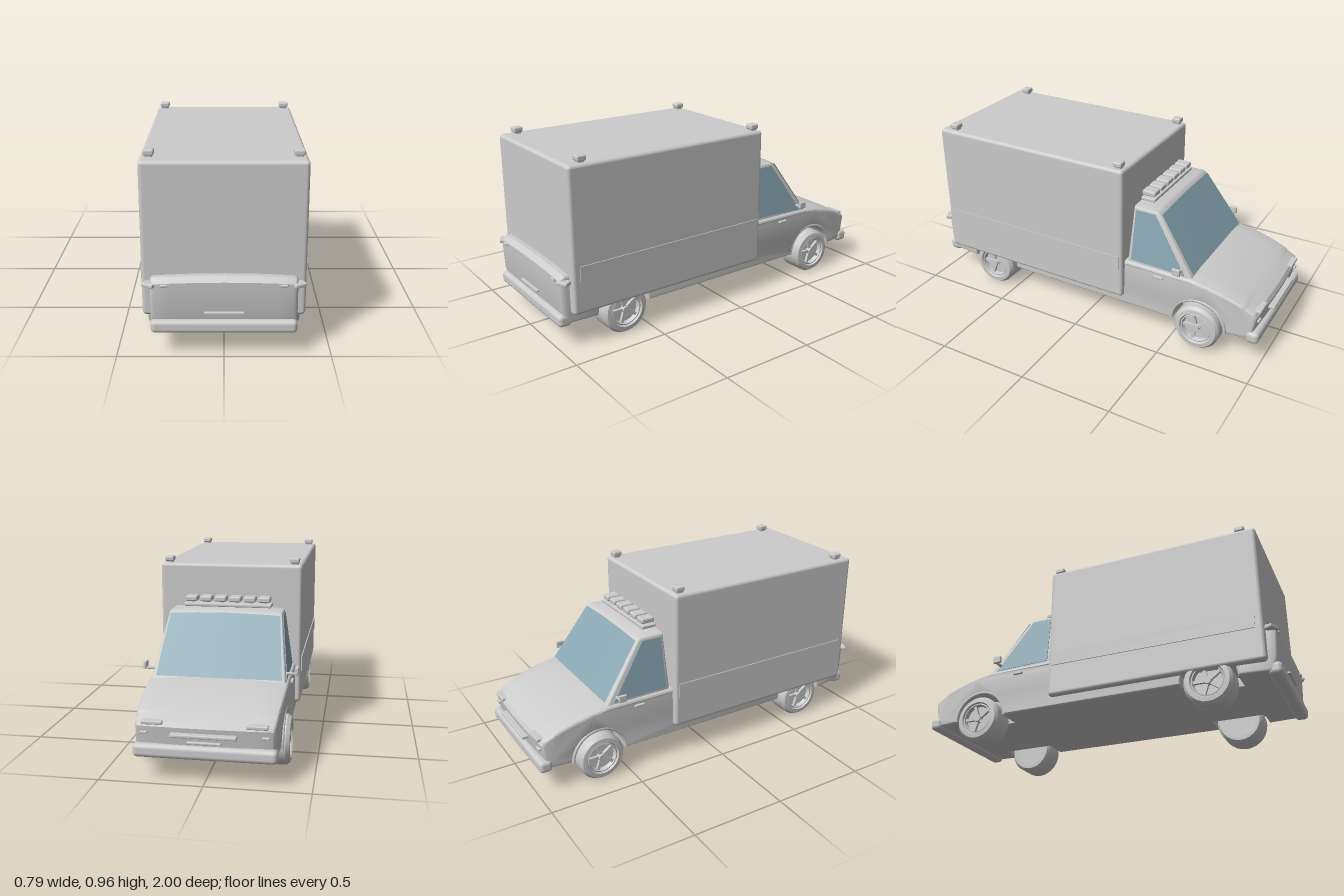
import * as THREE from 'three';
import { toCreasedNormals } from 'three/addons/utils/BufferGeometryUtils.js';
import { RoundedBoxGeometry } from 'three/addons/geometries/RoundedBoxGeometry.js';

const grey = new THREE.MeshStandardMaterial({ color: 0xcccccc });
const glass = new THREE.MeshStandardMaterial({ color: 0x8aa8b4, side: THREE.DoubleSide });

const clamp = THREE.MathUtils.clamp;

function add(parent, name, geometry, x = 0, y = 0, z = 0, material = grey) {
  const mesh = new THREE.Mesh(geometry, material);
  mesh.name = name;
  mesh.position.set(x, y, z);
  parent.add(mesh);
  return mesh;
}

// Box with softened edges
const soft = (w, h, d, r = Math.min(w, h, d) * 0.3, seg = 2) => new RoundedBoxGeometry(w, h, d, seg, r);

// Side profile (forward distance, y) extruded across the vehicle, then shaped by a rule
function sideExtrude(shape, halfWidth, bevel, rule) {
  const depth = 2 * (halfWidth - bevel);
  const g = new THREE.ExtrudeGeometry(shape, {
    depth, steps: 8, curveSegments: 18, bevelEnabled: bevel > 0,
    bevelSize: bevel, bevelOffset: -bevel, bevelThickness: bevel, bevelSegments: 3,
  });
  g.translate(0, 0, -depth / 2);
  g.rotateY(Math.PI / 2);
  const p = g.attributes.position;
  const v = new THREE.Vector3();
  for (let i = 0; i < p.count; i++) {
    v.fromBufferAttribute(p, i);
    rule(v, v.x / halfWidth);
    p.setXYZ(i, v.x, v.y, v.z);
  }
  return toCreasedNormals(g, 0.5);
}

const polygon = (pts) => new THREE.Shape(pts.map(([f, y]) => new THREE.Vector2(f, y)));

const FRONT_AXLE = -0.655, REAR_AXLE = 0.64;

// Lower body with wheel arches cut from its profile
function buildBody(group) {
  const s = new THREE.Shape();
  s.moveTo(-0.955, 0.13);
  s.lineTo(-REAR_AXLE - 0.145, 0.13);
  s.absarc(-REAR_AXLE, 0.13, 0.145, Math.PI, 0, true);
  s.lineTo(-FRONT_AXLE - 0.145, 0.13);
  s.absarc(-FRONT_AXLE, 0.13, 0.145, Math.PI, 0, true);
  s.lineTo(0.93, 0.13);
  s.lineTo(0.955, 0.16);
  s.lineTo(0.972, 0.265);
  s.lineTo(0.96, 0.285);
  s.quadraticCurveTo(0.82, 0.36, 0.6, 0.392);
  s.lineTo(0.24, 0.395);
  s.lineTo(-0.96, 0.382);
  s.lineTo(-0.985, 0.36);
  s.lineTo(-0.978, 0.2);
  const body = sideExtrude(s, 0.352, 0.014, (v, t) => {
    const nose = clamp((-v.z - 0.5) / 0.47, 0, 1), tail = clamp((v.z - 0.9) / 0.08, 0, 1);
    v.x *= 1 - 0.07 * nose * nose - 0.05 * tail;
    if (v.y > 0.25) v.y += 0.012 * (1 - t * t) * (v.y - 0.25) / 0.14;
    if (v.z < -0.9) v.z += 0.012 * t * t;
  });
  add(group, 'body', body);
  for (const z of [FRONT_AXLE, REAR_AXLE]) {
    add(group, 'wheelWell', new THREE.BoxGeometry(0.42, 0.2, 0.32), 0, 0.231, z);
  }
  for (const side of [-1, 1]) {
    const flare = add(group, 'archTrim', new THREE.TorusGeometry(0.15, 0.009, 8, 24, Math.PI), side * 0.343, 0.13, FRONT_AXLE);
    flare.rotation.y = Math.PI / 2;
    add(group, 'doorHandle', soft(0.016, 0.013, 0.055), side * 0.352, 0.357, -0.425);
  }
}

// Cab upper with windows
function buildCab(group) {
  const cab = new THREE.Group();
  cab.name = 'cab';
  group.add(cab);
  const lean = (v, t) => {
    v.x *= 1 - 0.13 * clamp((v.y - 0.39) / 0.31, 0, 1);
    if (v.y > 0.66) v.y += 0.01 * (1 - t * t);
  };
  add(cab, 'cabShell', sideExtrude(polygon([
    [0.235, 0.37], [0.62, 0.37], [0.605, 0.395], [0.395, 0.692], [0.38, 0.7], [0.25, 0.7],
  ]), 0.338, 0.01, lean));
  add(cab, 'sideWindows', sideExtrude(polygon([
    [0.258, 0.41], [0.565, 0.4], [0.373, 0.685], [0.263, 0.685],
  ]), 0.341, 0, (v) => lean(v, 1)), 0, 0, 0, glass);
  // Windshield follows the slope and the taper of the cab
  const pane = new THREE.PlaneGeometry(2, 1, 8, 1);
  const p = pane.attributes.position;
  for (let i = 0; i < p.count; i++) {
    const t = p.getX(i), up = p.getY(i) + 0.5;
    p.setXYZ(i, -t * (0.318 - 0.033 * up), 0.406 + 0.283 * up + 0.009 * up * (1 - t * t), -0.604 + 0.2 * up - 0.003);
  }
  pane.computeVertexNormals();
  add(cab, 'windshield', pane, 0, 0, 0, glass);
  // Mirrors
  for (const side of [-1, 1]) {
    add(cab, 'mirrorArm', soft(0.07, 0.012, 0.014), side * 0.352, 0.428, -0.545);
    add(cab, 'mirror', soft(0.016, 0.038, 0.045), side * 0.387, 0.443, -0.54);
  }
  // Roof lamp bar
  add(cab, 'lampBar', soft(0.46, 0.018, 0.08), 0, 0.722, -0.295);
  for (let i = 0; i < 6; i++) {
    const x = (i - 2.5) * 0.077;
    add(cab, 'lampStalk', new THREE.CylinderGeometry(0.012, 0.012, 0.03, 8), x, 0.735, -0.295);
    add(cab, 'roofLamp', soft(0.062, 0.028, 0.076), x, 0.753, -0.295);
  }
}

// Cargo box with side strips and corner lamps
function buildCargo(group) {
  const cargo = new THREE.Group();
  cargo.name = 'cargoBox';
  group.add(cargo);
  add(cargo, 'cargoShell', soft(0.76, 0.745, 1.16, 0.018, 3), 0, 0.5525, 0.355);
  for (const side of [-1, 1]) {
    add(cargo, 'sideStrip', new THREE.BoxGeometry(0.012, 0.08, 1.1), side * 0.379, 0.39, 0.345);
    for (const z of [-0.185, 0.85]) {
      add(cargo, 'cornerLampBase', soft(0.036, 0.02, 0.036), side * 0.338, 0.93, z);
      add(cargo, 'cornerLamp', soft(0.05, 0.028, 0.05), side * 0.338, 0.946, z);
    }
  }
}

// Bumpers, lights, handle and grille
function buildTrim(group) {
  add(group, 'rearBumper', soft(0.68, 0.066, 0.07, 0.022, 2), 0, 0.147, 0.962);
  add(group, 'frontBumper', soft(0.68, 0.066, 0.07, 0.022, 2), 0, 0.147, -0.947);
  add(group, 'tailgateHandle', soft(0.185, 0.01, 0.024), 0, 0.218, 0.982);
  add(group, 'grilleBar', soft(0.31, 0.016, 0.04), 0, 0.235, -0.978);
  add(group, 'lowerGrille', soft(0.16, 0.01, 0.03), 0, 0.197, -0.962);
  for (const side of [-1, 1]) {
    add(group, 'tailLamp', soft(0.034, 0.014, 0.02), side * 0.274, 0.353, 0.982);
    const corner = add(group, 'rearCornerLamp', soft(0.062, 0.02, 0.045), side * 0.342, 0.352, 0.965);
    corner.rotation.y = side * 0.5;
    add(group, 'headlamp', soft(0.1, 0.018, 0.04), side * 0.245, 0.284, -0.952);
    add(group, 'frontMarker', soft(0.036, 0.012, 0.03), side * 0.285, 0.235, -0.955);
  }
}

// Wheel with recessed rim, hub and five spokes
function buildWheel() {
  const wheel = new THREE.Group();
  const profile = [
    [0, -0.06], [0.085, -0.075], [0.112, -0.073], [0.125, -0.055], [0.125, 0.055], [0.112, 0.073],
    [0.09, 0.075], [0.084, 0.066], [0.078, 0.068], [0.072, 0.045], [0, 0.045],
  ].map(([r, a]) => new THREE.Vector2(r, a));
  const tyre = toCreasedNormals(new THREE.LatheGeometry(profile, 28), 0.6).rotateZ(-Math.PI / 2);
  add(wheel, 'tyre', tyre);
  add(wheel, 'hub', new THREE.CylinderGeometry(0.018, 0.023, 0.026, 12).rotateZ(-Math.PI / 2), 0.056);
  for (let i = 0; i < 5; i++) {
    const spoke = new THREE.BoxGeometry(0.016, 0.06, 0.016).translate(0, 0.046, 0);
    add(wheel, 'spoke', spoke, 0.052).rotation.x = Math.PI / 2 + i * Math.PI * 0.4;
  }
  return wheel;
}

export function createModel() {
  const group = new THREE.Group();
  group.name = 'boxTruck';
  buildBody(group);
  buildCab(group);
  buildCargo(group);
  buildTrim(group);
  for (const side of [-1, 1]) {
    for (const z of [FRONT_AXLE, REAR_AXLE]) {
      const wheel = buildWheel();
      wheel.name = z < 0 ? 'cabWheel' : 'cargoWheel';
      wheel.position.set(side * 0.3, 0.125, z);
      if (side < 0) wheel.rotation.y = Math.PI;
      group.add(wheel);
    }
  }
  return group;
}
